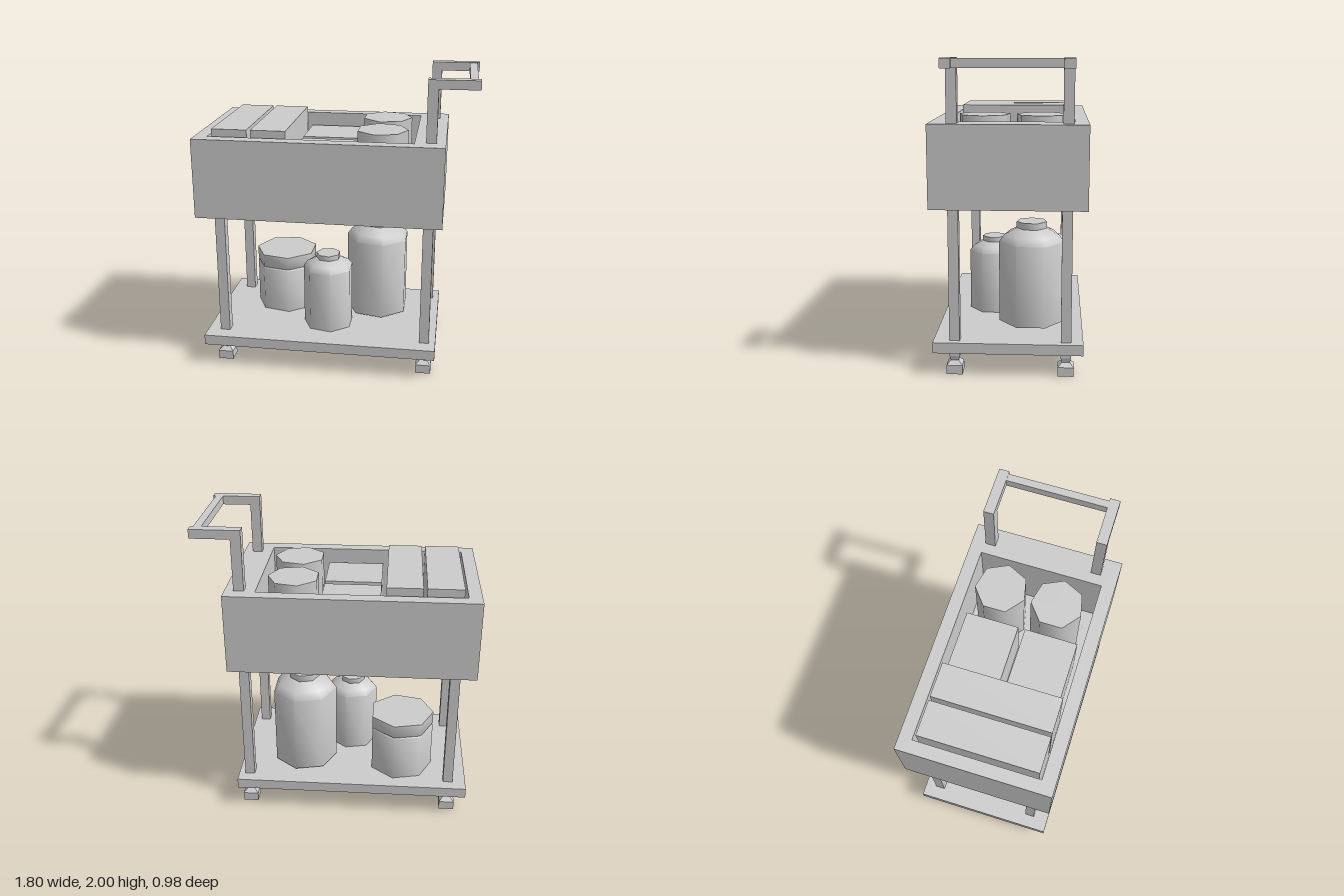
import * as THREE from 'three';
import { toCreasedNormals } from 'three/addons/utils/BufferGeometryUtils.js';

const grey = new THREE.MeshStandardMaterial({ color: 0xcccccc });
const greyOpen = new THREE.MeshStandardMaterial({ color: 0xcccccc, side: THREE.DoubleSide });

function add(parent, name, geometry, material = grey) {
  const mesh = new THREE.Mesh(geometry, material);
  mesh.name = name;
  parent.add(mesh);
  return mesh;
}

// Box given by its limits on each axis
function box(parent, name, x0, x1, y0, y1, z0, z1) {
  const mesh = add(parent, name, new THREE.BoxGeometry(x1 - x0, y1 - y0, z1 - z0));
  mesh.position.set((x0 + x1) / 2, (y0 + y1) / 2, (z0 + z1) / 2);
}

// Square frustum, w0 wide at the bottom and w1 at the top, optionally a hollow sleeve
function taper(parent, name, x, z, y0, y1, w0, w1, open = false) {
  const g = new THREE.CylinderGeometry(
    w1 * Math.SQRT1_2, w0 * Math.SQRT1_2, y1 - y0, 4, 1, open).toNonIndexed();
  g.rotateY(Math.PI / 4);
  g.computeVertexNormals();
  add(parent, name, g, open ? greyOpen : grey).position.set(x, (y0 + y1) / 2, z);
}

// Seven-sided jar turned from a [radius, y] profile; one corner points along +x or -x
function jar(parent, name, x, z, corner, profile) {
  const points = profile.map(([r, y]) => new THREE.Vector2(r, y));
  const g = new THREE.LatheGeometry(points, 7, corner * Math.PI / 2);
  add(parent, name, toCreasedNormals(g, 1.0)).position.set(x, 0, z);
}

export function createModel() {
  const model = new THREE.Group();
  model.name = 'serviceCart';

  // Open-topped upper bin
  const rect = (s, x0, x1, z0, z1) =>
    s.moveTo(x0, -z1).lineTo(x1, -z1).lineTo(x1, -z0).lineTo(x0, -z0).closePath();
  const rim = rect(new THREE.Shape(), -0.898, 0.702, -0.493, 0.49);
  rim.holes.push(rect(new THREE.Path(), -0.813, 0.507, -0.408, 0.402));
  const walls = new THREE.ExtrudeGeometry(rim, { depth: 0.525, bevelEnabled: false });
  walls.rotateX(-Math.PI / 2);
  add(model, 'binWalls', walls).position.y = 1.082;
  box(model, 'binFloor', -0.813, 0.507, 1.082, 1.167, -0.408, 0.402);

  // Bin contents
  box(model, 'tallBox', -0.79, -0.56, 1.167, 1.652, -0.388, 0.383);
  box(model, 'tallBox', -0.536, -0.308, 1.167, 1.652, -0.388, 0.383);
  box(model, 'shortBox', -0.272, 0.108, 1.167, 1.52, -0.378, -0.031);
  box(model, 'shortBox', -0.272, 0.108, 1.167, 1.52, 0.014, 0.362);
  for (const z of [-0.2, 0.172]) {
    jar(model, 'binPot', 0.288, z, 1, [[0, 1.167], [0.169, 1.167], [0.169, 1.637], [0, 1.637]]);
  }

  // Lower shelf
  box(model, 'shelf', -0.888, 0.687, 0.15, 0.22, -0.477, 0.48);

  // Legs with tapered square feet, hollow underneath
  for (const x of [-0.768, 0.611]) {
    for (const z of [-0.367, 0.344]) {
      const leg = new THREE.Group();
      leg.name = 'leg';
      model.add(leg);
      box(leg, 'post', x - 0.033, x + 0.033, 0.115, 1.1, z - 0.033, z + 0.033);
      taper(leg, 'postTip', x, z, 0.085, 0.115, 0.05, 0.066);
      taper(leg, 'footTop', x, z, 0.06, 0.085, 0.102, 0.05);
      taper(leg, 'foot', x, z, 0, 0.06, 0.102, 0.102, true);
    }
  }

  // Push handle
  const handle = new THREE.Group();
  handle.name = 'handle';
  model.add(handle);
  for (const z of [-0.368, 0.344]) {
    box(handle, 'handlePost', 0.578, 0.644, 1.6, 1.942, z - 0.033, z + 0.033);
    box(handle, 'handleArm', 0.578, 0.897, 1.942, 2, z - 0.033, z + 0.033);
  }
  box(handle, 'handleBar', 0.83, 0.88, 1.944, 1.998, -0.335, 0.311);

  // Jars on the shelf; the two shorter ones sink into it
  jar(model, 'wideJar', -0.435, -0.17, -1, [
    [0, 0.16], [0.22, 0.16], [0.22, 0.538], [0.212, 0.545],
    [0.22, 0.552], [0.22, 0.64], [0, 0.64],
  ]);
  jar(model, 'smallBottle', -0.076, 0.141, -1, [
    [0, 0.16], [0.174, 0.16], [0.174, 0.645], [0.145, 0.68],
    [0.083, 0.71], [0.083, 0.745], [0, 0.745],
  ]);
  jar(model, 'largeBottle', 0.244, -0.135, -1, [
    [0, 0.241], [0.222, 0.241], [0.222, 0.79], [0.19, 0.835],
    [0.103, 0.878], [0.103, 0.922], [0, 0.922],
  ]);

  return model;
}
